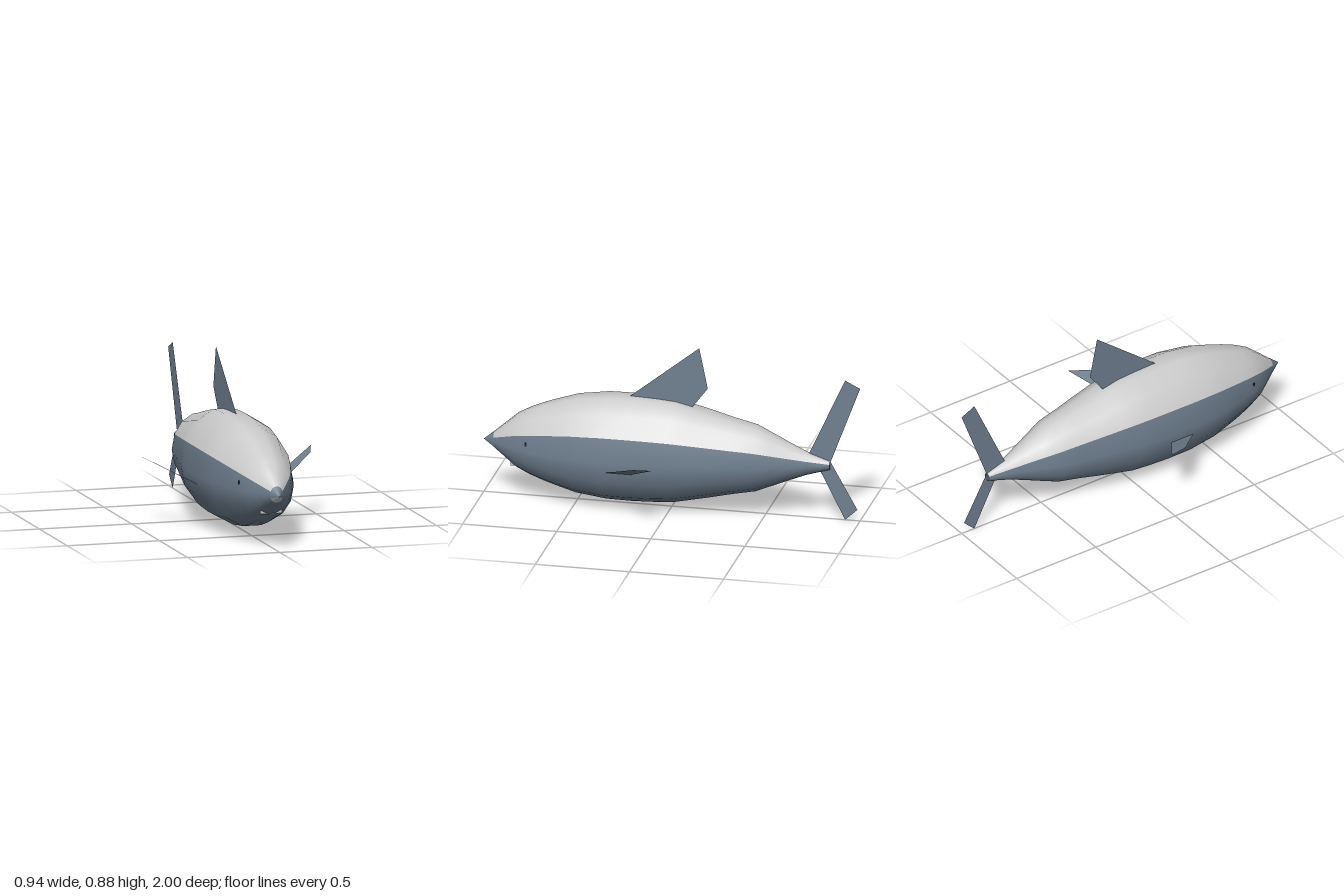
import * as THREE from 'three';

const SIDES = 14, AXIS_Y = 0.297;
const mat = (color) => new THREE.MeshStandardMaterial({ color, side: THREE.DoubleSide });
const pale = mat(0xcccccc), slate = mat(0x708090), dark = mat(0x222222);

// Body rings: [z, upper radius]; gently scalloped along the length
const BODY = [
  [0.943, 0.047], [0.89, 0.094], [0.82, 0.155], [0.75, 0.193], [0.67, 0.226], [0.6, 0.25],
  [0.5, 0.282], [0.42, 0.293], [0.34, 0.305], [0.2, 0.307], [0.08, 0.302], [-0.02, 0.294],
  [-0.1, 0.275], [-0.22, 0.246], [-0.33, 0.217], [-0.45, 0.19], [-0.54, 0.148],
  [-0.62, 0.11], [-0.72, 0.065], [-0.84, 0.024],
];

// Strip of hull between corner numbers k0 and k1, counted from the top towards +x
function shell(name, rings, k0, k1, material) {
  const pos = [], index = [], n = k1 - k0 + 1;
  rings.forEach(([z, r], i) => {
    for (let k = k0; k <= k1; k++) {
      const a = ((k + 0.5) * 2 * Math.PI) / SIDES, c = Math.cos(a);
      pos.push(0.775 * r * Math.sin(a), AXIS_Y + r * c * (c > 0 ? 1 : 0.87), z);
      if (i < rings.length - 1 && k < k1) {
        const p = i * n + k - k0;
        index.push(p, p + 1, p + n, p + 1, p + n + 1, p + n);
      }
    }
  });
  const geo = new THREE.BufferGeometry();
  geo.setAttribute('position', new THREE.Float32BufferAttribute(pos, 3));
  geo.setIndex(index);
  geo.computeVertexNormals();
  const mesh = new THREE.Mesh(geo, material);
  mesh.name = name;
  return mesh;
}

// Thin flat four-cornered fin
function fin(name, corners) {
  const geo = new THREE.BufferGeometry();
  geo.setAttribute('position', new THREE.Float32BufferAttribute(corners.flat(), 3));
  geo.setIndex([0, 1, 2, 0, 2, 3]);
  geo.computeVertexNormals();
  const mesh = new THREE.Mesh(geo, slate);
  mesh.name = name;
  return mesh;
}

function box(name, size, at, material) {
  const mesh = new THREE.Mesh(new THREE.BoxGeometry(...size), material);
  mesh.position.set(...at);
  mesh.name = name;
  return mesh;
}

export function createModel() {
  const fish = new THREE.Group();
  fish.name = 'fish';

  // Hull: pale back, slate flanks and belly, closed at the tail
  fish.add(shell('back', BODY, -3, 2, pale));
  fish.add(shell('flanksAndBelly', BODY, 2, 11, slate));
  fish.add(shell('tailCap', [[-0.84, 0.024], [-0.84, 0]], 0, SIDES, slate));

  // Pointed nose with the two tones reversed
  const nose = [[1, 0], [0.943, 0.047]];
  fish.add(shell('noseTop', nose, -5, 4, slate));
  fish.add(shell('noseUnderside', nose, 4, 9, pale));

  // Teeth strip
  fish.add(box('teeth', [0.116, 0.023, 0.03], [0, 0.1935, 0.83], pale));

  // Fins on the centre plane
  fish.add(fin('dorsalFin', [[0, 0.59, 0.23], [0, 0.89, -0.145], [0, 0.67, -0.19], [0, 0.55, -0.1]]));
  fish.add(fin('upperTailFin', [[0, 0.33, -0.717], [0, 0.775, -0.92], [0, 0.735, -1], [0, 0.31, -0.84]]));
  fish.add(fin('lowerTailFin', [[0, 0.3, -0.77], [0, 0.005, -0.92], [0, 0.065, -0.985], [0, 0.32, -0.842]]));

  // Mirrored eyes and swept side fins
  for (const [side, s] of [['left', 1], ['right', -1]]) {
    fish.add(box(side + 'Eye', [0.02, 0.018, 0.01], [s * 0.138, 0.337, 0.745], dark));
    fish.add(fin(side + 'SideFin', [
      [s * 0.22, 0.243, 0.31], [s * 0.435, 0.353, 0.11], [s * 0.47, 0.37, 0], [s * 0.22, 0.243, 0.172],
    ]));
  }
  return fish;
}
